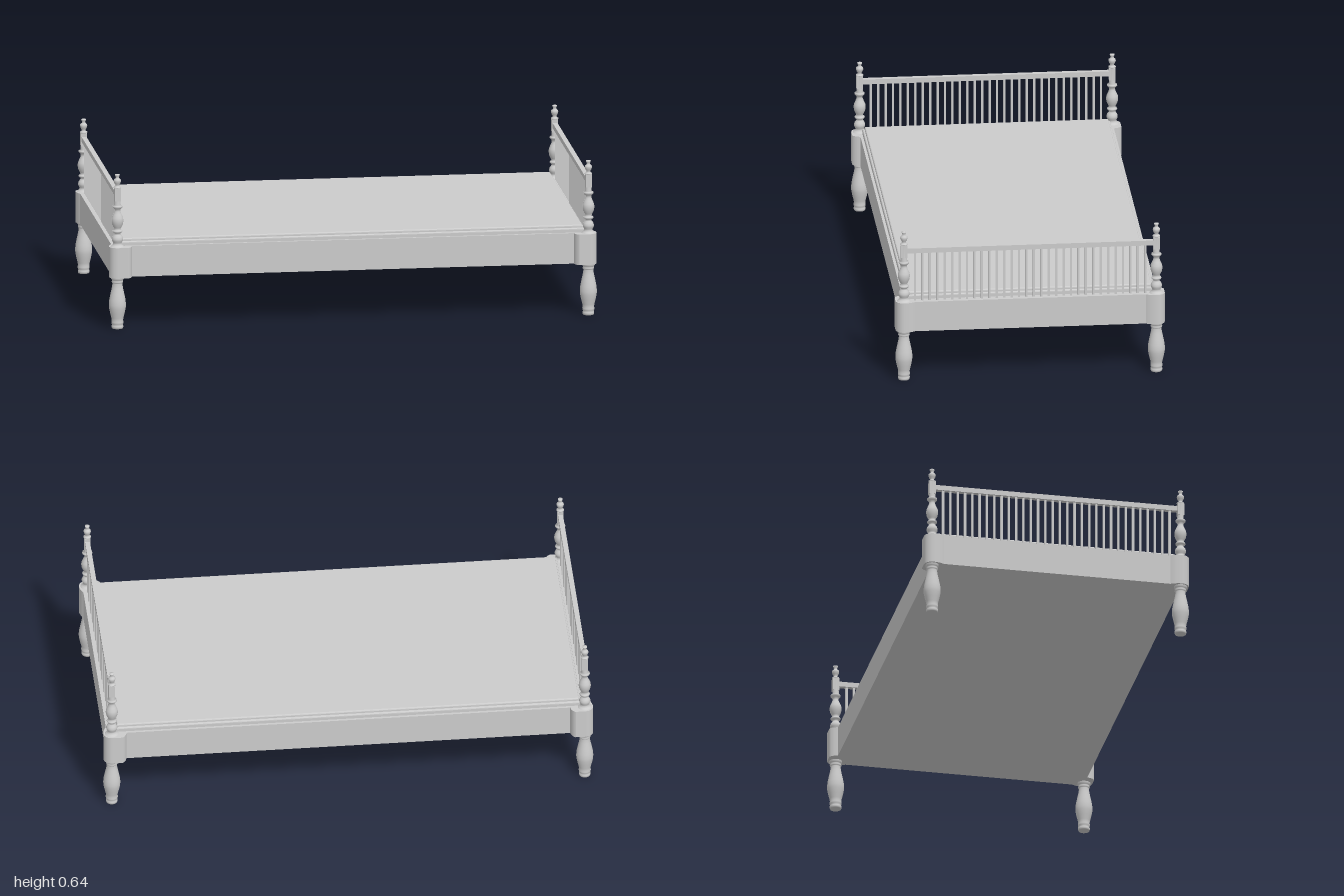
import * as THREE from 'three';

const material = new THREE.MeshStandardMaterial({ color: 0xcccccc });
const turnedMaterial = new THREE.MeshStandardMaterial({ color: 0xcccccc, side: THREE.DoubleSide });

const POST_X = 0.965, POST_Z = 0.515;
const RAIL_BOTTOM = 0.213, RAIL_TOP = 0.34;

function add(parent, name, geometry, x = 0, y = 0, z = 0, mat = material) {
  const mesh = new THREE.Mesh(geometry, mat);
  mesh.name = name;
  mesh.position.set(x, y, z);
  parent.add(mesh);
  return mesh;
}

function box(parent, name, w, y0, y1, d, x = 0, z = 0) {
  return add(parent, name, new THREE.BoxGeometry(w, y1 - y0, d), x, (y0 + y1) / 2, z);
}

// Turned profiles as [radius, height] pairs
const legProfile = [
  [0, 0], [0.022, 0], [0.024, 0.005], [0.024, 0.012], [0.021, 0.015], [0.024, 0.02], [0.025, 0.027],
  [0.023, 0.034], [0.025, 0.045], [0.03, 0.065], [0.034, 0.085], [0.035, 0.1], [0.033, 0.12],
  [0.028, 0.145], [0.023, 0.168], [0.02, 0.188], [0.022, 0.19], [0.024, 0.194], [0.022, 0.199],
  [0.023, 0.203], [0.027, 0.206], [0.027, 0.215],
];
const postProfile = [
  [0.029, 0.338], [0.027, 0.342], [0.021, 0.346], [0.017, 0.352], [0.018, 0.358], [0.022, 0.365],
  [0.023, 0.373], [0.02, 0.382], [0.014, 0.39], [0.012, 0.396], [0.019, 0.4], [0.021, 0.404],
  [0.019, 0.408], [0.013, 0.412], [0.016, 0.42], [0.022, 0.432], [0.025, 0.448], [0.023, 0.461],
  [0.017, 0.475], [0.012, 0.487], [0.012, 0.495], [0.017, 0.5], [0.021, 0.505], [0.02, 0.51],
  [0.013, 0.514], [0.013, 0.583], [0.015, 0.584], [0.015, 0.588], [0.009, 0.591], [0.008, 0.597],
  [0.012, 0.603], [0.015, 0.612], [0.014, 0.619], [0.008, 0.624], [0.006, 0.629], [0.009, 0.635],
  [0.01, 0.64], [0, 0.642],
];
const lathe = (profile) =>
  new THREE.LatheGeometry(profile.map(([r, y]) => new THREE.Vector2(r, y)), 28);

// Rounded corner casing, drawn in plan around the post centre (+x outward, +y outward)
function cornerGeometry() {
  const s = new THREE.Shape();
  s.moveTo(-0.06, -0.045);
  s.lineTo(0.02, -0.045);
  s.quadraticCurveTo(0.033, -0.025, 0.034, 0);
  s.absarc(0, 0, 0.034, 0, Math.PI / 2, false);
  s.lineTo(-0.04, 0.034);
  s.quadraticCurveTo(-0.056, 0.026, -0.06, 0);
  s.closePath();
  const g = new THREE.ExtrudeGeometry(s, {
    depth: RAIL_TOP - RAIL_BOTTOM, bevelEnabled: false, curveSegments: 12,
  });
  return g.rotateX(-Math.PI / 2); // plan +y becomes -z
}

// Low platform with softly rounded upper edges
function platformGeometry(hx, hz, height) {
  const r = 0.006;
  const s = new THREE.Shape();
  s.moveTo(-hx + r, -hz + r);
  s.lineTo(hx - r, -hz + r);
  s.lineTo(hx - r, hz - r);
  s.lineTo(-hx + r, hz - r);
  s.closePath();
  const g = new THREE.ExtrudeGeometry(s, {
    depth: height - 2 * r, bevelSize: r, bevelThickness: r, bevelSegments: 3,
  });
  return g.translate(0, 0, r).rotateX(-Math.PI / 2);
}

export function createModel() {
  const bed = new THREE.Group();
  bed.name = 'bed';

  // Frame, closed underneath, and the sleeping surface
  box(bed, 'frame', 1.97, RAIL_BOTTOM, RAIL_TOP, 1.034);
  add(bed, 'platformBase', platformGeometry(0.95, 0.506, 0.032), 0, 0.326);
  add(bed, 'platform', platformGeometry(0.943, 0.497, 0.028), 0, 0.341);

  // Corners: leg, casing and turned post
  const corner = cornerGeometry();
  const leg = lathe(legProfile);
  const post = lathe(postProfile);
  for (const sx of [1, -1]) {
    for (const sz of [1, -1]) {
      const group = new THREE.Group();
      group.name = `${sz > 0 ? 'front' : 'back'}${sx > 0 ? 'Left' : 'Right'}Post`;
      group.position.set(sx * POST_X, 0, sz * POST_Z);
      add(group, 'leg', leg, 0, 0, 0, turnedMaterial);
      add(group, 'turnedPost', post, 0, 0, 0, turnedMaterial);
      add(group, 'cornerCasing', corner, 0, RAIL_BOTTOM, 0).scale.set(sx, 1, -sz);
      // Square block that receives the top rail
      box(group, 'railBlock', 0.025, 0.53, 0.583, 0.027);
      bed.add(group);
    }
  }

  // Spindle panels at both ends
  const count = 32, pitch = 0.0303;
  for (const sx of [1, -1]) {
    const panel = new THREE.Group();
    panel.name = sx > 0 ? 'leftEndPanel' : 'rightEndPanel';
    panel.position.x = sx * POST_X;
    box(panel, 'topRail', 0.02, 0.548, 0.569, 1.01);
    for (let i = 0; i < count; i++) {
      box(panel, 'spindle', 0.009, RAIL_TOP - 0.005, 0.55, 0.009, 0, (i - (count - 1) / 2) * pitch);
    }
    bed.add(panel);
  }
  return bed;
}
